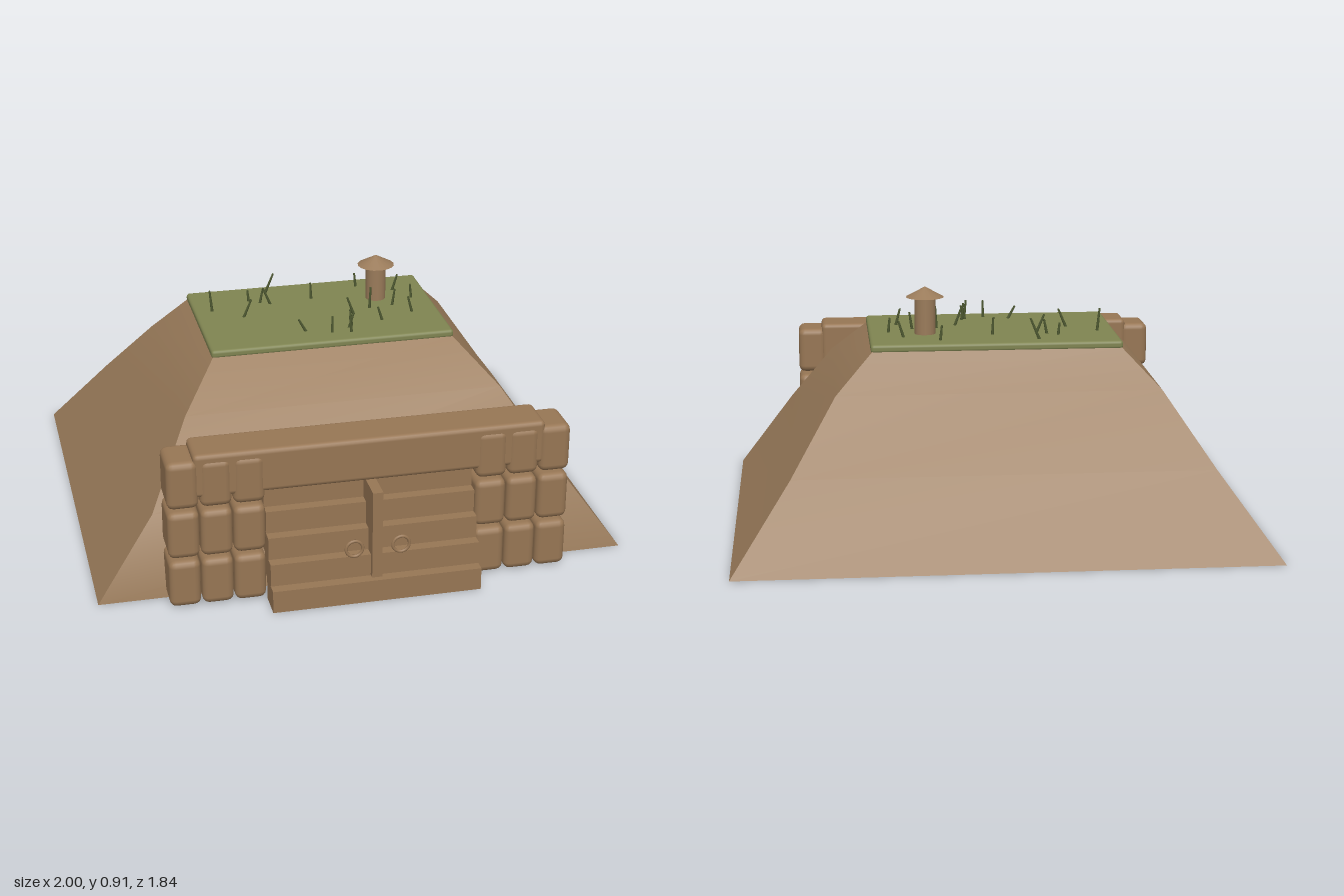
import * as THREE from 'three';
import { RoundedBoxGeometry } from 'three/addons/geometries/RoundedBoxGeometry.js';

function material(name, color) {
  const m = new THREE.MeshStandardMaterial({ color });
  m.name = name;
  return m;
}

// Levels of the mound: y, half width, back z, front z
const LEVELS = [
  [0, 1, -0.92, 0.725],
  [0.305, 0.78, -0.71, 0.645],
  [0.56, 0.61, -0.49, 0.385],
  [0.705, 0.47, -0.4, 0.2],
];

// Four slopes, smooth up each side and sharp at the corners, plus base and top
function moundGeometry() {
  const rings = LEVELS.map(([y, w, back, front]) => [
    [-w, y, front], [w, y, front], [w, y, back], [-w, y, back],
  ]);
  const positions = [];
  const index = [];
  const last = rings.length - 1;
  for (let side = 0; side < 4; side++) {
    const start = positions.length / 3;
    rings.forEach((r) => positions.push(...r[side], ...r[(side + 1) % 4]));
    for (let i = 0; i < last; i++) {
      const a = start + i * 2;
      index.push(a, a + 1, a + 3, a, a + 3, a + 2);
    }
  }
  const base = positions.length / 3;
  positions.push(...rings[0].flat(), ...rings[last].flat());
  index.push(base, base + 3, base + 2, base, base + 2, base + 1);
  index.push(base + 4, base + 5, base + 6, base + 4, base + 6, base + 7);
  const g = new THREE.BufferGeometry();
  g.setAttribute('position', new THREE.Float32BufferAttribute(positions, 3));
  g.setIndex(index);
  g.computeVertexNormals();
  return g;
}

export function createModel() {
  const model = new THREE.Group();
  model.name = 'earthCellar';
  const earth = material('earth brown', 0x9a7b5a);
  const timber = material('timber brown', 0x977654);
  const turf = material('turf green', 0x7f8451);
  const blade = material('grass green', 0x4f5a32);

  const add = (name, geometry, mat, x = 0, y = 0, z = 0, parent = model) => {
    const mesh = new THREE.Mesh(geometry, mat);
    mesh.name = name;
    mesh.position.set(x, y, z);
    parent.add(mesh);
    return mesh;
  };
  const group = (name) => {
    const g = new THREE.Group();
    g.name = name;
    model.add(g);
    return g;
  };

  add('mound', moundGeometry(), earth);
  add('turfSlab', new RoundedBoxGeometry(0.95, 0.032, 0.605, 2, 0.012), turf, 0, 0.715, -0.1);

  // Stone walls beside the doors: three columns by three rows, mirrored
  const walls = group('stoneWalls');
  const stone = new RoundedBoxGeometry(0.116, 0.185, 0.17, 2, 0.026);
  for (const side of [-1, 1]) {
    for (let col = 0; col < 3; col++) {
      for (let row = 0; row < 3; row++) {
        add('stone', stone, timber, side * (0.45 + col * 0.12), 0.098 + row * 0.198, 0.735, walls);
      }
    }
  }
  add('lintel', new RoundedBoxGeometry(1.3, 0.168, 0.168, 2, 0.018), timber, 0, 0.524, 0.73);

  // Sloping doors: planks stepping back as they rise
  const doors = group('cellarDoors');
  const plank = new THREE.BoxGeometry(0.78, 0.087, 0.11);
  for (let i = 0; i < 5; i++) {
    add('plank', plank, timber, 0, 0.0435 + i * 0.0875, 0.865 - i * 0.04, doors);
  }
  add('centrePost', new THREE.BoxGeometry(0.038, 0.345, 0.2), timber, 0, 0.2625, 0.802, doors);
  const ring = new THREE.TorusGeometry(0.031, 0.006, 8, 20);
  for (const x of [-0.087, 0.087]) add('ringHandle', ring, timber, x, 0.22, 0.905, doors);

  // Vent pipe with a conical cap
  const vent = group('ventPipe');
  add('pipe', new THREE.CylinderGeometry(0.04, 0.04, 0.155, 16), earth, 0.26, 0.8, -0.19, vent);
  add('cap', new THREE.ConeGeometry(0.073, 0.04, 16), earth, 0.26, 0.893, -0.19, vent);

  // Grass blades: x, z, height, sideways lean
  const grass = group('grass');
  const bladeGeometry = new THREE.CylinderGeometry(0.004, 0.006, 1, 5).translate(0, 0.5, 0);
  const blades = [
    [-0.405, -0.19, 0.09, 0.1], [-0.295, -0.105, 0.08, -0.4], [-0.245, -0.26, 0.05, 0.1],
    [-0.205, -0.235, 0.06, -0.2], [-0.165, -0.215, 0.08, 0.4], [-0.165, -0.335, 0.09, -0.4],
    [-0.085, 0.085, 0.06, 0.5], [0.005, -0.235, 0.07, 0.05], [0.01, 0.12, 0.07, -0.03],
    [0.085, 0.085, 0.06, -0.3], [0.085, 0.13, 0.07, 0.1], [0.1, 0.07, 0.07, 0.1],
    [0.135, -0.04, 0.08, 0.35], [0.23, 0.04, 0.06, 0.3], [0.21, -0.09, 0.09, -0.05],
    [0.21, -0.325, 0.06, 0.1], [0.305, -0.1, 0.07, -0.15], [0.365, -0.015, 0.07, 0.25],
    [0.345, -0.255, 0.07, -0.3], [0.4, -0.16, 0.06, 0.1],
  ];
  for (const [x, z, height, lean] of blades) {
    const mesh = add('grassBlade', bladeGeometry, blade, x, 0.728, z, grass);
    mesh.scale.y = height;
    mesh.rotation.z = lean;
  }
  return model;
}
